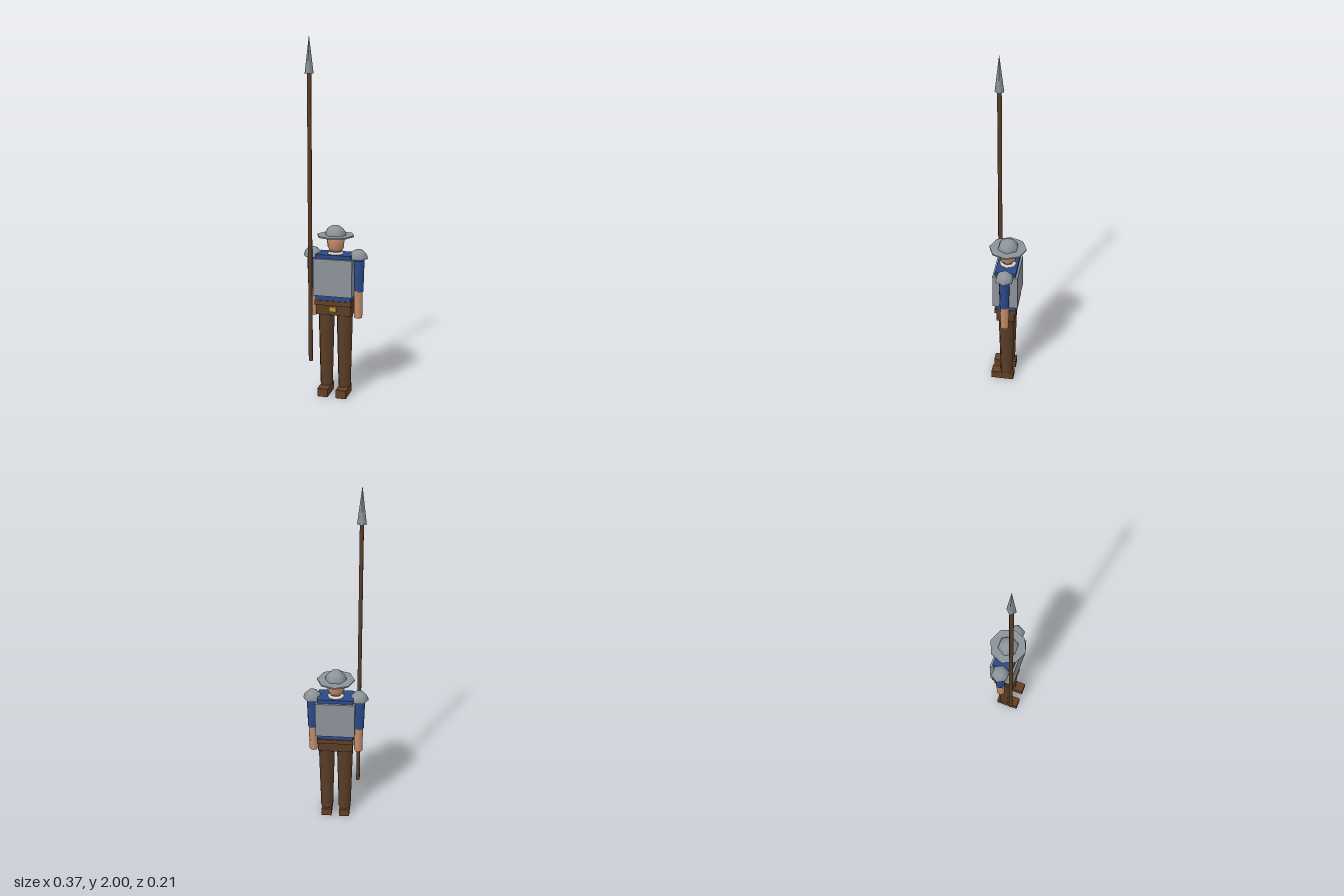
import * as THREE from 'three';

const mat = (name, color, side = THREE.FrontSide) => {
  const m = new THREE.MeshStandardMaterial({ color, side });
  m.name = name;
  return m;
};

export function createModel() {
  const steel = mat('steel', 0x8c949a, THREE.DoubleSide);
  const blue = mat('blue cloth', 0x2c4a8a);
  const brown = mat('brown cloth', 0x5a3d26);
  const leather = mat('leather', 0x633f24);
  const wood = mat('wood', 0x5a4029);
  const skin = mat('skin', 0xc58c6a);
  const white = mat('white linen', 0xe2dfd6);
  const brass = mat('brass', 0xc09a2c);

  const model = new THREE.Group();
  model.name = 'spearman';
  const add = (name, geometry, material, x, y, z) => {
    const mesh = new THREE.Mesh(geometry, material);
    mesh.name = name;
    mesh.position.set(x, y, z);
    model.add(mesh);
    return mesh;
  };
  const box = (name, material, w, y0, y1, d, x = 0, z = 0) =>
    add(name, new THREE.BoxGeometry(w, y1 - y0, d), material, x, (y0 + y1) / 2, z);
  const tube = (name, material, rTop, rBottom, y0, y1, sides, x = 0, z = 0) =>
    add(name, new THREE.CylinderGeometry(rTop, rBottom, y1 - y0, sides), material, x, (y0 + y1) / 2, z);
  const dome = (name, r, x, y) =>
    add(name, new THREE.SphereGeometry(r, 6, 5, 0, Math.PI * 2, 0, Math.PI / 2), steel, x, y, 0);

  // Torso, breastplate and belt
  box('torso', blue, 0.202, 0.55, 0.817, 0.117);
  box('breastplate', steel, 0.222, 0.585, 0.795, 0.142);
  box('hips', brown, 0.2, 0.472, 0.535, 0.104);
  box('belt', leather, 0.208, 0.53, 0.557, 0.126);
  box('buckle', brass, 0.04, 0.496, 0.524, 0.016, 0, 0.06);

  // Head, neck and collar
  tube('neck', skin, 0.03, 0.03, 0.8, 0.85, 8);
  const headProfile = [[0, 0.83], [0.036, 0.832], [0.047, 0.853], [0.05, 0.89], [0.047, 0.925], [0, 0.94]]
    .map(([r, y]) => new THREE.Vector2(r, y));
  add('head', new THREE.LatheGeometry(headProfile, 8), skin, 0, 0, 0);
  const collar = add('collar', new THREE.TorusGeometry(0.036, 0.014, 4, 8), white, 0, 0.815, 0);
  collar.rotation.x = Math.PI / 2;

  // Wide-brimmed helmet
  tube('helmetBrim', steel, 0.105, 0.105, 0.914, 0.922, 8);
  dome('helmetDome', 0.061, 0, 0.916);

  // Paired limbs and armour
  for (const [side, s] of [['left', 1], ['right', -1]]) {
    tube(side + 'Leg', brown, 0.048, 0.036, 0.046, 0.52, 8, s * 0.053);
    box(side + 'Shoe', leather, 0.06, 0, 0.047, 0.134, s * 0.053, 0.022);
    tube(side + 'Sleeve', blue, 0.031, 0.026, 0.608, 0.785, 8, s * 0.134);
    tube(side + 'Forearm', skin, 0.026, 0.024, 0.457, 0.612, 8, s * 0.13);
    dome(side + 'ShoulderPad', 0.053, s * 0.131, 0.795);
  }

  // Long spear held at the right side
  tube('spearShaft', wood, 0.012, 0.012, 0.2, 1.8, 6, -0.128, 0.064);
  add('spearHead', new THREE.ConeGeometry(0.025, 0.2, 4), steel, -0.128, 1.9, 0.064);

  return model;
}
